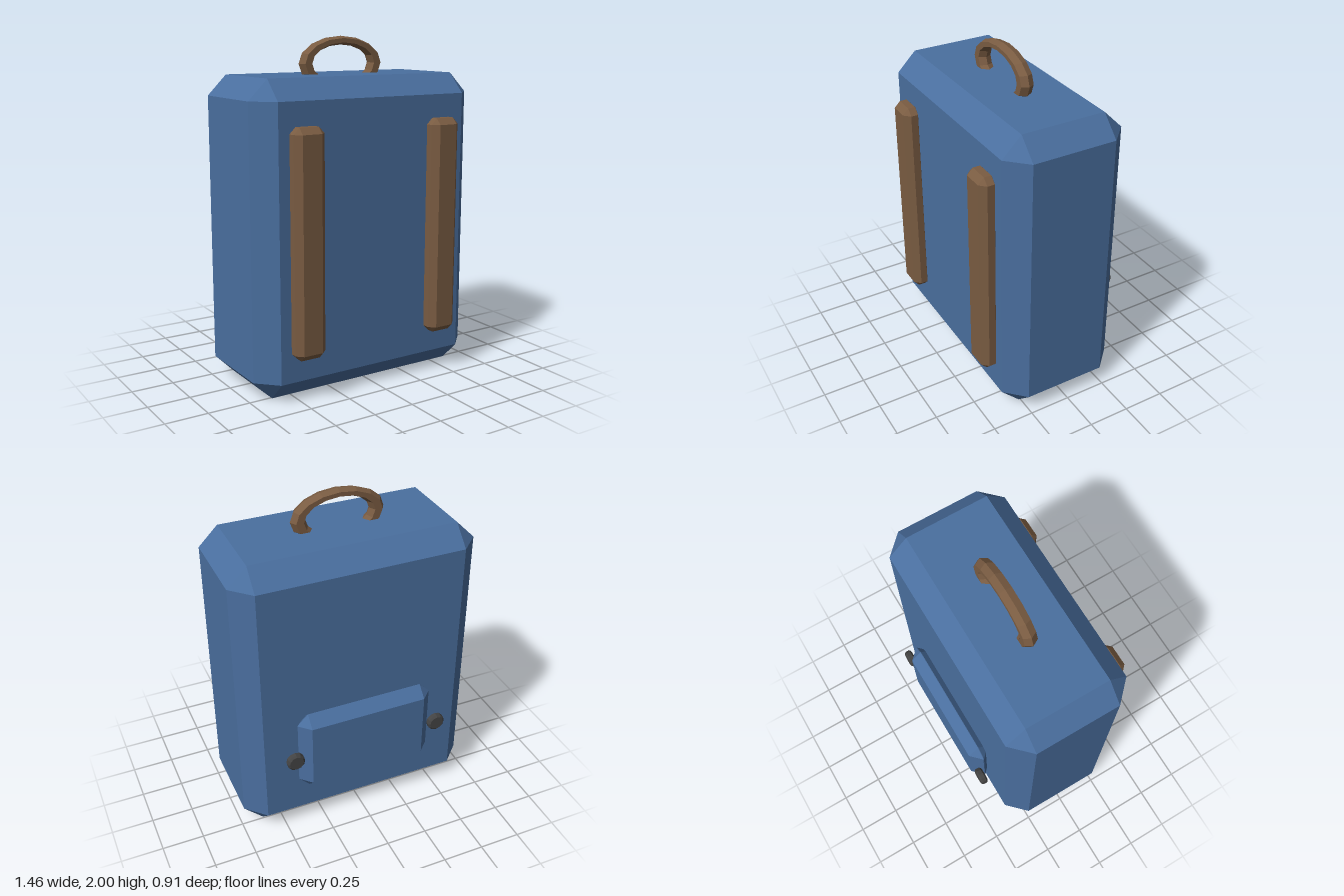
import * as THREE from 'three';
import { ConvexGeometry } from 'three/addons/geometries/ConvexGeometry.js';

const material = (color) => new THREE.MeshStandardMaterial({ color, flatShading: true });

// Box with equal chamfers on every edge and triangular corners
function chamferBox(w, h, d, c) {
  const points = [];
  for (const sx of [-1, 1]) for (const sy of [-1, 1]) for (const sz of [-1, 1]) {
    const x = w / 2, y = h / 2, z = d / 2;
    points.push(
      new THREE.Vector3(sx * x, sy * (y - c), sz * (z - c)),
      new THREE.Vector3(sx * (x - c), sy * y, sz * (z - c)),
      new THREE.Vector3(sx * (x - c), sy * (y - c), sz * z),
    );
  }
  return new ConvexGeometry(points);
}

export function createModel() {
  const model = new THREE.Group();
  model.name = 'backpack';
  const blue = material(0x4a6f9f);
  const brown = material(0x7a5c42);
  const dark = material(0x444444);

  const add = (name, geometry, mat, x, y, z) => {
    const mesh = new THREE.Mesh(geometry, mat);
    mesh.name = name;
    mesh.position.set(x, y, z);
    model.add(mesh);
    return mesh;
  };

  // Main bag and the pocket on its back face
  add('body', chamferBox(1.46, 1.785, 0.73, 0.115), blue, 0, 0.8925, 0.01);
  add('pocket', chamferBox(0.84, 0.53, 0.132, 0.064), blue, 0, 0.575, -0.389);

  // Carry handle: a flattened ring half sunk into the top
  const ring = new THREE.TorusGeometry(0.235, 0.045, 6, 16);
  add('handle', ring, brown, 0, 1.845, 0.01).scale.y = 0.555;

  // Bevelled disc, turned to face backwards
  const disc = new THREE.LatheGeometry([
    [0, -0.022], [0.043, -0.022], [0.054, -0.012],
    [0.054, 0.012], [0.043, 0.022], [0, 0.022],
  ].map(([r, y]) => new THREE.Vector2(r, y)), 12);
  disc.rotateX(-Math.PI / 2);

  // Shoulder straps and pocket buttons, mirrored
  const strap = chamferBox(0.19, 1.285, 0.115, 0.036);
  for (const [side, s] of [['left', 1], ['right', -1]]) {
    add(side + 'Strap', strap, brown, s * 0.455, 0.8925, 0.398);
    add(side + 'Button', disc, dark, s * 0.455, 0.56, -0.433);
  }
  return model;
}
